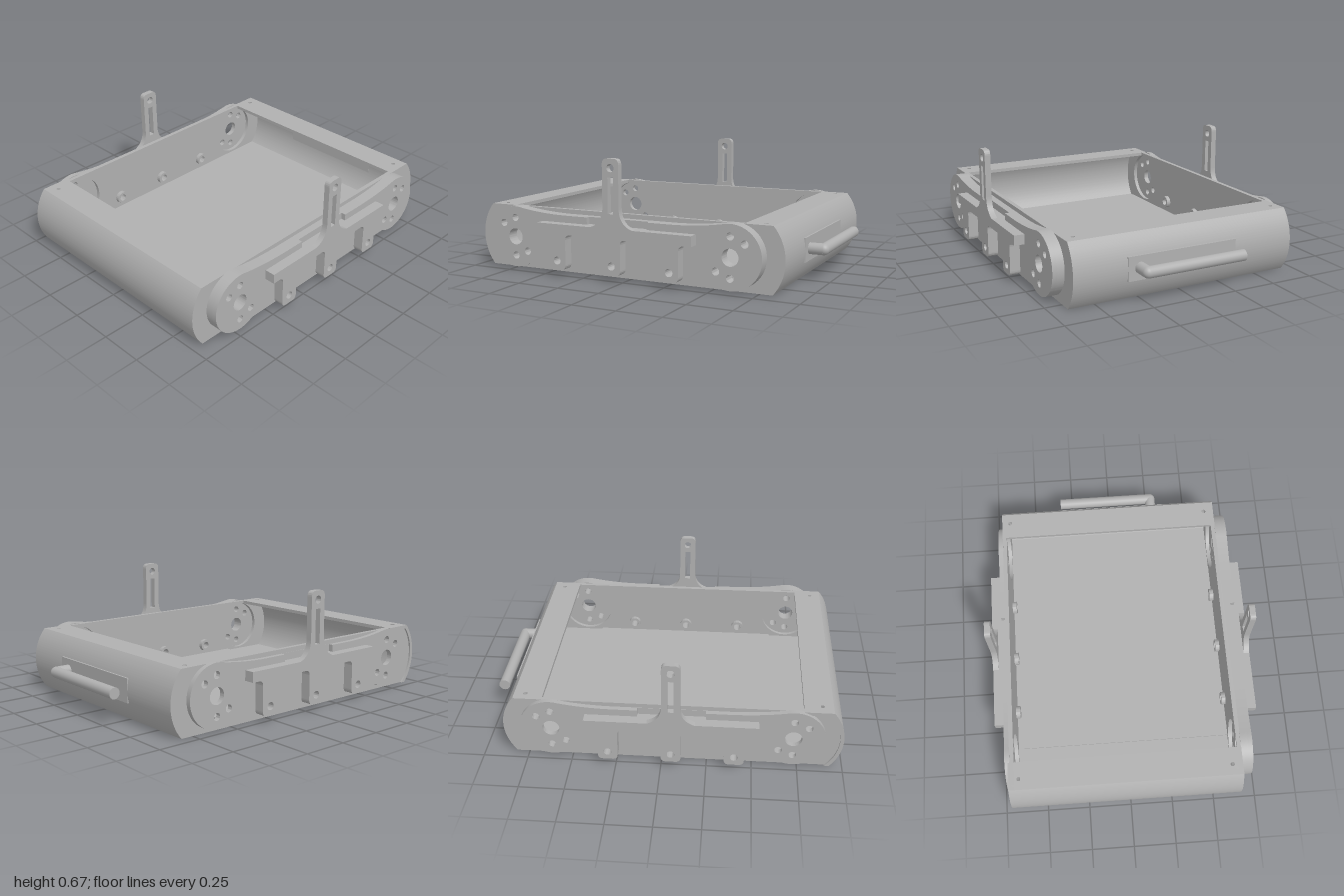
import * as THREE from 'three';
import { toCreasedNormals } from 'three/addons/utils/BufferGeometryUtils.js';

const grey = new THREE.MeshStandardMaterial({ color: 0xb0b0b0 });
grey.name = 'machined grey';

const HUB = 0.667;   // distance of each hub from the middle
const R = 0.275;     // radius of the rounded ends
const H = 0.36;      // body height
const A = Math.asin(H / 2 / R);
const TABS = [-0.347, 0, 0.347];
const BACK = -0.69, FRONT = 0.65;

export function createModel() {
  const model = new THREE.Group();
  const frame = new THREE.Group();
  frame.name = 'trayFrame';
  frame.position.x = -0.055;
  model.add(frame);

  const add = (name, geometry, x = 0, y = 0, z = 0) => {
    const mesh = new THREE.Mesh(geometry, grey);
    mesh.name = name;
    mesh.position.set(x, y, z);
    frame.add(mesh);
    return mesh;
  };
  const box = (name, x0, x1, y0, y1, z0, z1) =>
    add(name, new THREE.BoxGeometry(x1 - x0, y1 - y0, z1 - z0), (x0 + x1) / 2, (y0 + y1) / 2, (z0 + z1) / 2);
  const extrude = (shape, depth) => toCreasedNormals(
    new THREE.ExtrudeGeometry(shape, { depth, bevelEnabled: false, curveSegments: 32 }), 0.5);
  const slab = (name, shape, z0, z1) => add(name, extrude(shape, z1 - z0), 0, 0, z0);
  const hole = (shape, x, y, r) => shape.holes.push(new THREE.Path().absarc(x, y, r, 0, Math.PI * 2, true));

  // Floor with a slightly raised pan
  box('floor', -0.87, 0.87, 0, 0.02, BACK, FRONT);
  box('floorPan', -0.565, 0.575, 0.02, 0.03, -0.63, 0.63);

  // Curved end shells and the flat rims on top of them
  for (const s of [-1, 1]) {
    const side = s > 0 ? 'left' : 'right';
    const mid = s > 0 ? 0 : Math.PI;
    const inner = R - 0.02, B = Math.asin(H / 2 / inner);
    const shell = new THREE.Shape();
    shell.absarc(s * HUB, H / 2, R, mid - A, mid + A, false);
    shell.absarc(s * HUB, H / 2, inner, mid + B, mid - B, true);
    const back = s > 0 ? -0.68 : -0.7;
    slab(side + 'EndShell', shell, back, FRONT);

    const x0 = s * 0.715, x1 = s * (HUB + R * Math.cos(A));
    const rim = new THREE.Shape([[x0, -FRONT], [x1, -FRONT], [x1, -back], [x0, -back]]
      .map(([x, y]) => new THREE.Vector2(x, y)));
    for (const z of [-0.64, 0.59]) hole(rim, s * 0.813, -z, 0.012);
    const rimGeometry = extrude(rim, 0.02);
    rimGeometry.rotateX(-Math.PI / 2);
    add(side + 'Rim', rimGeometry, 0, H - 0.02, 0);
  }

  // Side walls with large round openings behind the hubs
  const wall = new THREE.Shape();
  wall.absarc(HUB, H / 2, R, -A, A, false);
  wall.absarc(-HUB, H / 2, R, Math.PI - A, Math.PI + A, false);
  for (const s of [-1, 1]) hole(wall, s * HUB, 0.19, 0.157);
  for (const x of TABS) hole(wall, x, 0.09, 0.022);

  // Dog-bone side plate; the outer layer has a notch behind the bracket stem
  const sidePlate = (notched) => {
    const p = new THREE.Shape(), rad = THREE.MathUtils.degToRad;
    p.absarc(HUB, 0.19, 0.175, rad(-121), rad(100), false);
    p.quadraticCurveTo(0.5, 0.337, 0.33, 0.335);
    if (notched) for (const [x, y] of [[0.187, 0.335], [0.187, 0.295], [-0.187, 0.295], [-0.187, 0.335]]) p.lineTo(x, y);
    p.lineTo(-0.33, 0.335);
    p.quadraticCurveTo(-0.5, 0.337, -HUB + 0.175 * Math.cos(rad(80)), 0.19 + 0.175 * Math.sin(rad(80)));
    p.absarc(-HUB, 0.19, 0.175, rad(80), rad(301), false);
    for (const s of [-1, 1]) {
      hole(p, s * HUB, 0.19, 0.047);
      for (const [dx, y] of [[0, 0.3], [0.08, 0.265], [-0.08, 0.11], [0, 0.08]]) hole(p, s * (HUB + dx), y, 0.021);
    }
    for (const x of TABS) hole(p, x, 0.09, 0.022);
    return p;
  };

  // Bracket bar with three hanging tabs
  const bar = new THREE.Shape();
  const w = 0.055, f = 0.03;
  bar.moveTo(0.475, 0.295);
  bar.lineTo(-0.475, 0.295);
  bar.lineTo(-0.475, 0.238);
  for (const x of TABS) {
    bar.lineTo(x - w - f, 0.238);
    bar.quadraticCurveTo(x - w, 0.238, x - w, 0.238 - f);
    bar.lineTo(x - w, 0.04 + f);
    bar.quadraticCurveTo(x - w, 0.04, x - w + f, 0.04);
    bar.lineTo(x + w - f, 0.04);
    bar.quadraticCurveTo(x + w, 0.04, x + w, 0.04 + f);
    bar.lineTo(x + w, 0.238 - f);
    bar.quadraticCurveTo(x + w, 0.238, x + w + f, 0.238);
  }
  bar.lineTo(0.475, 0.238);
  for (const x of TABS) hole(bar, x, 0.09, 0.022);

  // Upright stem with flared foot, slot and pin hole
  const stem = new THREE.Shape();
  stem.moveTo(-0.15, 0.29);
  stem.lineTo(0.15, 0.29);
  stem.quadraticCurveTo(0.05, 0.31, 0.05, 0.41);
  stem.lineTo(0.05, 0.64);
  stem.quadraticCurveTo(0.05, 0.672, 0.02, 0.672);
  stem.lineTo(-0.02, 0.672);
  stem.quadraticCurveTo(-0.05, 0.672, -0.05, 0.64);
  stem.lineTo(-0.05, 0.41);
  stem.quadraticCurveTo(-0.05, 0.31, -0.15, 0.29);
  hole(stem, 0, 0.622, 0.022);
  stem.holes.push(new THREE.Path([[-0.017, 0.375], [-0.017, 0.572], [0.017, 0.572], [0.017, 0.375]]
    .map(([x, y]) => new THREE.Vector2(x, y))));

  // Ring boss inside the wall
  const boss = new THREE.Shape().absarc(0, 0.09, 0.038, 0, Math.PI * 2, false);
  hole(boss, 0, 0.09, 0.022);

  for (const s of [1, -1]) {
    const side = s > 0 ? 'front' : 'back';
    const edge = s > 0 ? FRONT : -BACK;
    const layer = (name, shape, a, b) => slab(side + name, shape, Math.min(s * a, s * b), Math.max(s * a, s * b));
    layer('Wall', wall, edge - 0.025, edge);
    layer('SidePlate', sidePlate(false), edge - 0.002, 0.692);
    layer('SidePlateFace', sidePlate(true), 0.69, 0.718);
    layer('BracketBar', bar, 0.717, 0.777);
    layer('BracketStem', stem, 0.743, 0.777);
    for (const x of TABS) layer('Boss', boss, edge - 0.05, edge - 0.024).position.x = x;
  }

  // L-shaped handle on a flat pad
  const hx = 1.022, hy = 0.183, hz = 0.268, hr = 0.032;
  box('handlePad', 0.92, 0.943, 0.115, 0.25, -0.32, 0.34);
  const grip = new THREE.CylinderGeometry(hr, hr, hz + 0.32, 24);
  grip.rotateX(Math.PI / 2);
  add('handleGrip', grip, hx, hy, (hz - 0.32) / 2);
  const arm = new THREE.CylinderGeometry(hr, hr, 0.1, 24);
  arm.rotateZ(Math.PI / 2);
  add('handleArm', arm, hx - 0.05, hy, hz);
  add('handleElbow', new THREE.SphereGeometry(hr, 24, 16), hx, hy, hz);

  return model;
}
